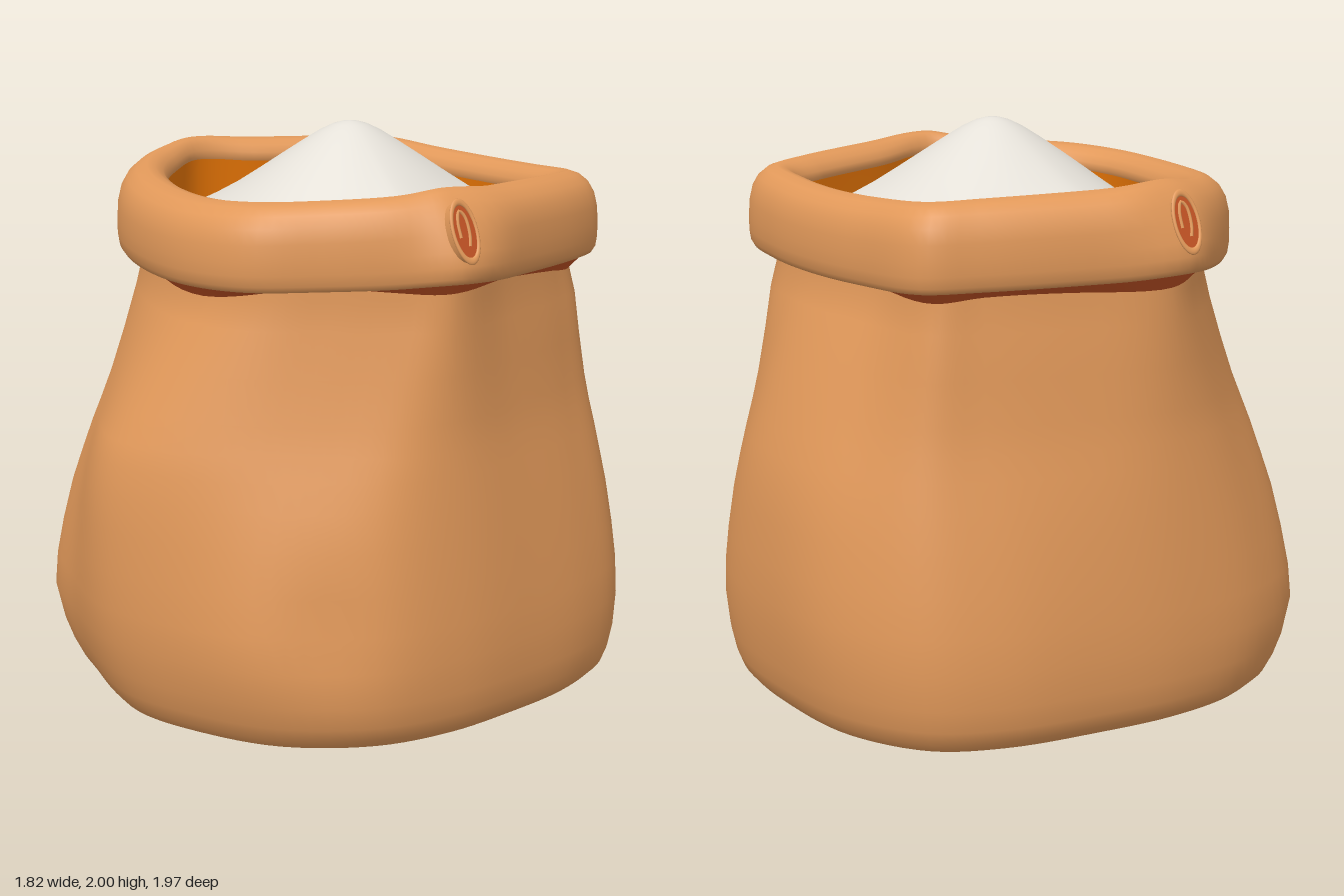
import * as THREE from 'three';

const N = 108; // samples round each ring
const { lerp, smoothstep } = THREE.MathUtils;

// Closed outlines in x,z, from the front round by +x; same order of points in each
const outline = (pts) => {
  const curve = new THREE.CatmullRomCurve3(pts.map(([x, z]) => new THREE.Vector3(x, 0, z)), true, 'centripetal');
  return Array.from({ length: N }, (_, i) => curve.getPoint(i / N));
};
const belly = outline([[0, .985], [.3, .915], [.62, .75], [.83, .45], [.88, .12], [.855, -.2], [.79, -.54], [.67, -.78], [.38, -.95],
  [0, -.99], [-.38, -.95], [-.67, -.78], [-.79, -.54], [-.85, -.2], [-.88, .15], [-.84, .5], [-.68, .78], [-.36, .9]]);
const rimOuter = outline([[.18, .775], [.45, .7], [.62, .5], [.78, .28], [.895, .12], [.81, -.2], [.68, -.56], [.57, -.72], [.3, -.79],
  [0, -.81], [-.3, -.79], [-.6, -.73], [-.69, -.56], [-.81, -.2], [-.895, .12], [-.78, .32], [-.58, .53], [-.25, .7]]);
const rimInner = outline([[.18, .565], [.38, .5], [.52, .36], [.64, .2], [.7, .1], [.615, -.15], [.52, -.44], [.465, -.575], [.25, -.615],
  [0, -.63], [-.25, -.615], [-.495, -.575], [-.545, -.44], [-.63, -.15], [-.7, .1], [-.62, .25], [-.45, .4], [-.2, .5]]);

// Skin a surface over rows of rings; point(row, i) gives each vertex
function loft(rows, point) {
  const pos = [], index = [];
  rows.forEach((row, j) => {
    for (let i = 0; i < N; i++) {
      pos.push(...point(row, i));
      if (j === rows.length - 1) continue;
      const a = j * N + i, b = j * N + (i + 1) % N;
      index.push(a, b, a + N, b, b + N, a + N);
    }
  });
  const g = new THREE.BufferGeometry();
  g.setAttribute('position', new THREE.Float32BufferAttribute(pos, 3));
  g.setIndex(index);
  g.computeVertexNormals();
  return g;
}

// Sack wall: height, scale, x scale, blend to the neck at front, back and corners
const wall = [
  [0, .865, 1.02, .12, 0, 0], [.015, .905, 1.02, .12, 0, 0], [.05, .935, 1.03, .11, 0, 0], [.1, .955, 1.03, .09, 0, 0],
  [.18, .973, 1.025, .05, 0, 0], [.3, .99, 1.01, .01, 0, .01], [.42, .998, .995, 0, 0, .05], [.55, 1, .983, 0, .02, .12],
  [.7, 1, .97, .01, .06, .22], [.82, 1, .96, .04, .12, .33], [.92, 1, .955, .1, .21, .43], [1, 1, .953, .18, .31, .52],
  [1.1, 1, .958, .35, .43, .63], [1.25, 1, .978, .58, .64, .78], [1.4, 1, 1.003, .84, .88, .92], [1.5, 1, 1.02, 1, 1.07, 1],
  [1.64, 1, 1.025, 1, 1.07, 1],
];
function wallPoint(y, i) {
  const k = Math.max(1, wall.findIndex((r) => r[0] >= y));
  const f = (y - wall[k - 1][0]) / (wall[k][0] - wall[k - 1][0]);
  const [, s, sx, tFront, tBack, tCorner] = wall[k].map((v, c) => lerp(wall[k - 1][c], v, f));
  const b = belly[i];
  const diagonal = (2 * b.x * b.z / b.lengthSq()) ** 2;
  const tSide = lerp(tBack, tFront, smoothstep(b.z, -.4, .4));
  const t = lerp(tSide, Math.max(tSide, tCorner), diagonal);
  const neck = rimInner[i].clone().lerp(rimOuter[i], .5);
  const p = b.clone().lerp(neck, t);
  // soft fold low on the front left corner
  const dent = 1 - .03 * Math.exp(-(((b.x - .74) / .14) ** 2) - ((b.z - .58) / .2) ** 2 - ((y - .42) / .16) ** 2);
  return [p.x * s * sx * dent, y, p.z * s * dent];
}

// Point of the hem: u runs from the inner to the outer outline; the side corners are raised and slope inwards
function hemPoint([u, y], i) {
  const o = rimOuter[i];
  const corner = Math.exp(-(((o.z - .12) / .15) ** 2)) * smoothstep(Math.abs(o.x), .6, .85);
  const p = rimInner[i].clone().lerp(o, u * (1 - 2.4 * corner * Math.max(0, y - 1.6)));
  const lift = lerp(.025, .045, smoothstep(y, 1.54, 1.7));
  return [p.x, y + lift * Math.min(1, (o.x / .88) ** 2) + .012 * corner, p.z];
}

export function createModel() {
  const model = new THREE.Group();
  const mat = (name, color, side = THREE.FrontSide) => {
    const m = new THREE.MeshStandardMaterial({ color, side });
    m.name = name;
    return m;
  };
  const fabric = mat('tan fabric', 0xe2995a);
  const lining = mat('orange lining', 0xf07a06, THREE.DoubleSide);
  const seam = mat('rust seam', 0xc25224, THREE.DoubleSide);
  const grain = mat('pale grain', 0xe5e1d9);
  const add = (name, geometry, material, parent = model) => {
    const mesh = new THREE.Mesh(geometry, material);
    mesh.name = name;
    parent.add(mesh);
    return mesh;
  };

  // Sack body and its flat underside
  add('sackBody', loft(wall.map((r) => r[0]), wallPoint), fabric);
  add('sackBase', loft([.001, 1], (s, i) => {
    const [x, , z] = wallPoint(0, i);
    return [x * s, 0, z * s];
  }), fabric);

  // Rolled hem
  const hem = [[.8, 1.54], [.9, 1.535], [.97, 1.555], [1, 1.59], [1, 1.63], [.985, 1.685], [.92, 1.735], [.8, 1.772],
    [.62, 1.798], [.42, 1.81], [.25, 1.803], [.1, 1.785], [.02, 1.76], [.01, 1.74], [.05, 1.725]];
  add('rolledHem', loft(hem, hemPoint), fabric);

  // Lining inside the mouth
  add('mouthLining', loft([[.04, 1.73], [.07, 1.65], [.1, 1.55]], hemPoint), lining);

  // Uneven seam flaring from the wall to the underside of the hem
  add('seamFlare', loft([0, 1], (row, i) => {
    if (row) return hemPoint([.82, 1.543], i);
    const a = i / N * Math.PI * 2;
    return wallPoint(1.525 - .022 * Math.cos(3 * a) - .018 * Math.cos(5 * a + .6), i);
  }), seam);

  // Heap of grain: s runs from the round peak out to the lining
  const heap = [[1, 1.62], [.88, 1.665], [.75, 1.715], [.62, 1.767], [.5, 1.82], [.37, 1.878], [.25, 1.93],
    [.16, 1.967], [.09, 1.989], [.04, 1.998], [.001, 2]];
  const peak = new THREE.Vector3(.05, 0, -.03);
  add('grainHeap', loft(heap, ([s, y], i) => {
    const edge = rimInner[i].clone().lerp(rimOuter[i], .12).sub(peak);
    const round = edge.clone().setLength(.66);
    const p = round.lerp(edge, s * s).multiplyScalar(s).add(peak);
    return [p.x, y, p.z];
  }), grain);

  // Open roll ends at the two side corners of the hem
  const plug = new THREE.CylinderGeometry(.05, .05, .08, 32).rotateX(Math.PI / 2).translate(0, 0, -.04);
  const scroll = new THREE.CatmullRomCurve3([[-.022, -.02], [-.02, .035], [-.006, .068], [.012, .05], [.016, -.01], [.006, -.05]]
    .map(([x, y]) => new THREE.Vector3(x, y, 0)));
  const scrollTube = new THREE.TubeGeometry(scroll, 24, .006, 6);
  for (const side of [1, -1]) {
    const end = new THREE.Group();
    end.name = side > 0 ? 'leftRollEnd' : 'rightRollEnd';
    end.position.set(side * .864, 1.742, .125);
    end.rotation.y = side * Math.PI / 2;
    const tilt = new THREE.Group();
    tilt.rotation.x = -.4;
    end.add(tilt);
    add('rollCore', plug, [fabric, seam, seam], tilt).scale.y = 2;
    add('rollLip', new THREE.TorusGeometry(.048, .006, 10, 40), fabric, tilt).scale.y = 2.05;
    add('rollScroll', scrollTube, fabric, tilt);
    model.add(end);
  }
  return model;
}
